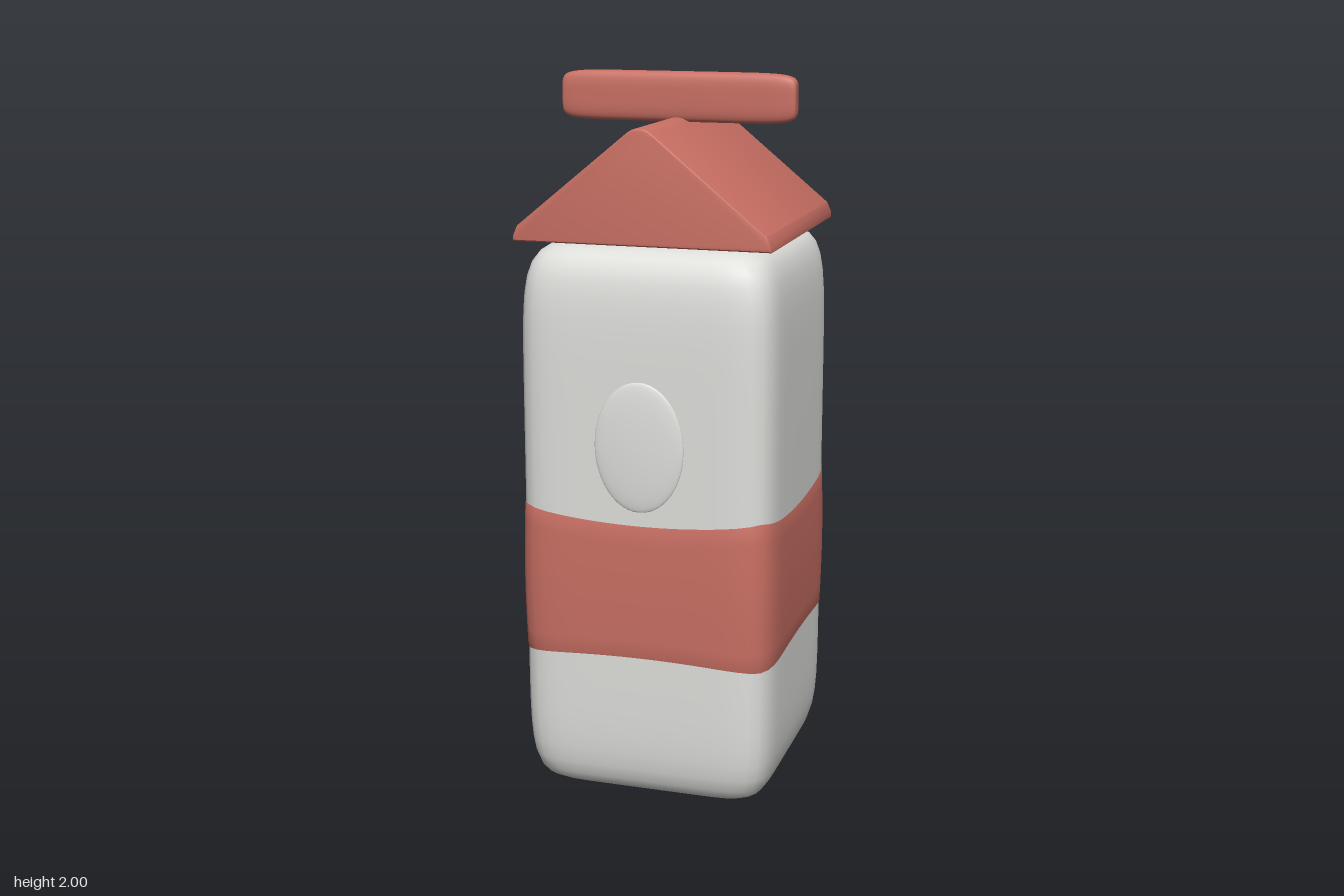
import * as THREE from 'three';
import { toCreasedNormals } from 'three/addons/utils/BufferGeometryUtils.js';

const CENTER_Z = -0.006;
const SIDES = 96;

// Skin between closed rings of SIDES points, running upwards
function loft(rings) {
  const index = [];
  for (let i = 0; i < rings.length - 1; i++) {
    for (let j = 0; j < SIDES; j++) {
      const k = (j + 1) % SIDES;
      const a = i * SIDES + j, b = a + SIDES;
      const d = i * SIDES + k, c = d + SIDES;
      index.push(a, b, c, a, c, d);
    }
  }
  const geo = new THREE.BufferGeometry();
  geo.setAttribute('position', new THREE.Float32BufferAttribute(rings.flat(2), 3));
  geo.setIndex(index);
  geo.computeVertexNormals();
  return geo;
}

// Unit superellipse point at an angle; higher n is squarer
function squircle(angle, n) {
  const c = Math.cos(angle), s = Math.sin(angle);
  const r = (Math.abs(c) ** n + Math.abs(s) ** n) ** (-1 / n);
  return [c * r, s * r];
}

// Closed ring; heightAt maps a unit section point to y
function ring(hx, hz, n, heightAt) {
  return Array.from({ length: SIDES }, (_, j) => {
    const [x, z] = squircle((j / SIDES) * Math.PI * 2, n);
    return [x * hx, heightAt(x, z), z * hz];
  });
}

// Softly bulging block
function softBlock(hx, hy, hz, section, profile) {
  const rings = [];
  const steps = 72;
  for (let i = 0; i <= steps; i++) {
    const [r, v] = squircle((i / steps - 0.5) * Math.PI, profile);
    rings.push(ring(hx * r, hz * r, section, () => v * hy));
  }
  return loft(rings);
}

export function createModel() {
  const white = new THREE.MeshStandardMaterial({ color: 0xdededb });
  white.name = 'carton white';
  const red = new THREE.MeshStandardMaterial({ color: 0xc96f63 });
  red.name = 'carton red';

  const model = new THREE.Group();
  model.name = 'carton';
  function add(name, geo, mat, x, y, z) {
    const mesh = new THREE.Mesh(geo, mat);
    mesh.name = name;
    mesh.position.set(x, y, z);
    model.add(mesh);
    return mesh;
  }

  // Body
  add('body', softBlock(0.361, 0.78, 0.361, 8.5, 10), white, 0, 0.78, CENTER_Z);

  // Wrapped band, taller towards the corners
  const corner = (x, z) => Math.min(Math.abs(x), Math.abs(z)) ** 2;
  const low = (x, z) => 0.43 - 0.018 * corner(x, z);
  const high = (x, z) => 0.81 + 0.032 * corner(x, z);
  const bandRings = [ring(0.355, 0.355, 8.5, low)];
  for (let i = 0; i <= 8; i++) {
    const t = i / 8;
    const half = 0.363 + 0.004 * Math.sin(Math.PI * t);
    bandRings.push(ring(half, half, 8.5, (x, z) => THREE.MathUtils.lerp(low(x, z), high(x, z), t)));
  }
  bandRings.push(ring(0.355, 0.355, 8.5, high));
  add('band', loft(bandRings), red, 0, 0, CENTER_Z);

  // Oval badge on the front
  const badge = add('badge', new THREE.SphereGeometry(1, 48, 24), white, 0, 1.03, 0.357);
  badge.scale.set(0.125, 0.18, 0.014);

  // Gabled roof with a rounded ridge
  const gable = new THREE.Shape();
  gable.moveTo(-0.355, 1.57);
  gable.lineTo(0.355, 1.57);
  gable.lineTo(0.355, 1.585);
  gable.lineTo(0.343, 1.612);
  gable.lineTo(0.04, 1.86);
  gable.quadraticCurveTo(0, 1.895, -0.04, 1.86);
  gable.lineTo(-0.343, 1.612);
  gable.lineTo(-0.355, 1.585);
  gable.closePath();
  const roof = new THREE.ExtrudeGeometry(gable, {
    depth: 0.69, bevelThickness: 0.008, bevelSize: 0.008, bevelOffset: -0.008,
    bevelSegments: 3, curveSegments: 12,
  });
  roof.translate(0, 0, -0.345);
  add('roof', toCreasedNormals(roof, 0.5), red, 0, 0, CENTER_Z);

  // Sealed fin above the ridge
  const fin = softBlock(0.068, 0.333, 0.028, 3.5, 8);
  fin.rotateZ(Math.PI / 2);
  add('topFin', fin, red, 0, 1.932, CENTER_Z);

  return model;
}
